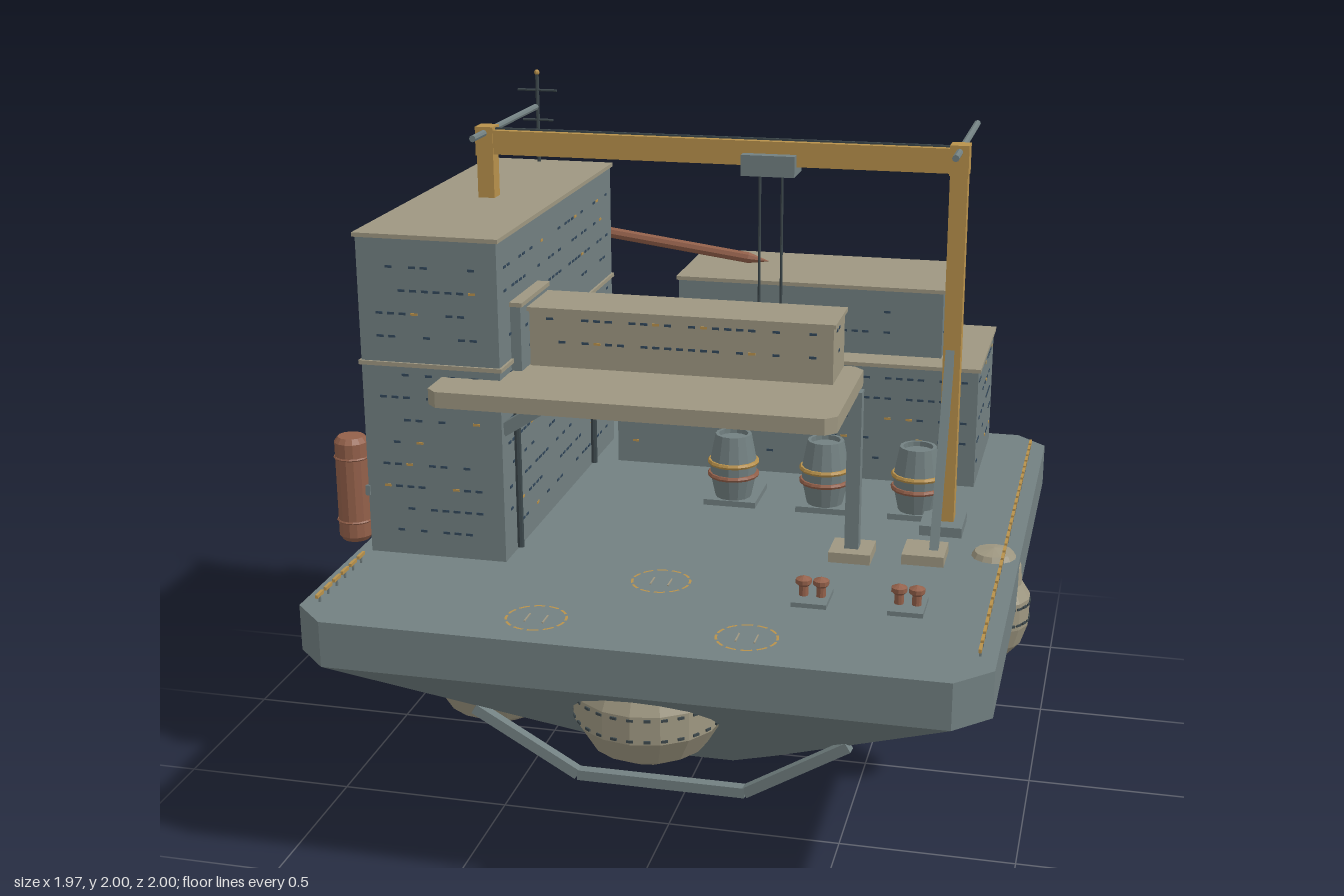
import * as THREE from 'three';
import { mergeGeometries } from 'three/addons/utils/BufferGeometryUtils.js';
import { ConvexGeometry } from 'three/addons/geometries/ConvexGeometry.js';

export function createModel() {
  const root = new THREE.Group();
  root.name = 'floatingPlatform';
  const material = (name, color, flatShading = false) =>
    new THREE.MeshStandardMaterial({ name, color, flatShading });
  const slate = material('slate', 0x728081, true);
  const cream = material('cream', 0x9e9781, true);
  const ochre = material('ochre', 0xb8914b, true);
  const copper = material('copper', 0x93604a, true);
  const dark = material('dark', 0x3c474b, true);
  const glass = material('glass', 0x32475a, true);

  const add = (name, geo, mat) => {
    const m = new THREE.Mesh(geo, mat);
    m.name = name;
    root.add(m);
    return m;
  };
  const boxGeo = (x0, x1, y0, y1, z0, z1) =>
    new THREE.BoxGeometry(x1 - x0, y1 - y0, z1 - z0)
      .translate((x0 + x1) / 2, (y0 + y1) / 2, (z0 + z1) / 2);
  const box = (name, mat, ...b) => add(name, boxGeo(...b), mat);
  const lathe = (name, mat, pts, x, y, z, sides = 14) =>
    add(name, new THREE.LatheGeometry(pts.map(p => new THREE.Vector2(...p)), sides).translate(x, y, z), mat);
  const bar = (name, mat, a, b, w, h = w) => {
    const A = new THREE.Vector3(...a), B = new THREE.Vector3(...b);
    const m = add(name, new THREE.BoxGeometry(w, h, A.distanceTo(B)), mat);
    m.position.copy(A).add(B).multiplyScalar(0.5);
    m.lookAt(B);
    return m;
  };
  const rod = (name, mat, a, b, r0, r1 = r0) => {
    const A = new THREE.Vector3(...a), B = new THREE.Vector3(...b);
    const m = add(name, new THREE.CylinderGeometry(r1, r0, A.distanceTo(B), 8), mat);
    m.position.copy(A).add(B).multiplyScalar(0.5);
    m.quaternion.setFromUnitVectors(new THREE.Vector3(0, 1, 0), B.sub(A).normalize());
    return m;
  };
  let seed = 7;
  const rnd = () => (seed = (seed * 16807) % 2147483647) / 2147483647;

  // Rows of tiny windows on the four walls of a block
  const windows = (x0, x1, y0, y1, z0, z1) => {
    const lit = [], unlit = [];
    for (let y = y0 + 0.07; y < y1 - 0.03; y += 0.066) {
      const wall = (from, to, place) => {
        for (let t = from + 0.05; t < to - 0.05; t += 0.034) {
          if (rnd() < 0.5) continue;
          (rnd() < 0.12 ? lit : unlit).push(...place(t));
        }
      };
      wall(x0, x1, t => [z0, z1].map(z => boxGeo(t, t + 0.02, y, y + 0.007, z - 0.002, z + 0.002)));
      wall(z0, z1, t => [x0, x1].map(x => boxGeo(x - 0.002, x + 0.002, y, y + 0.007, t, t + 0.02)));
    }
    if (lit.length) add('litWindows', mergeGeometries(lit), ochre);
    if (unlit.length) add('windows', mergeGeometries(unlit), glass);
  };
  // Walls with a thin overhanging roof
  const block = (name, mat, x0, x1, y0, y1, z0, z1) => {
    box(name, mat, x0, x1, y0, y1 - 0.012, z0, z1);
    box(name + 'Roof', cream, x0 - 0.007, x1 + 0.007, y1 - 0.012, y1, z0 - 0.007, z1 + 0.007);
    windows(x0, x1, y0, y1, z0, z1);
  };

  // Hull: chamfered rim and tapering bottom
  const ring = (y, x0, x1, z0, z1, c) => [
    [x0 + c, z0], [x1 - c, z0], [x1, z0 + c], [x1, z1 - c],
    [x1 - c, z1], [x0 + c, z1], [x0, z1 - c], [x0, z0 + c],
  ].map(([x, z]) => new THREE.Vector3(x, y, z));
  add('hull', new ConvexGeometry([
    ...ring(0.77, -0.92, 0.945, -1, 1, 0.095),
    ...ring(0.64, -0.92, 0.945, -1, 1, 0.095),
    ...ring(0.22, -0.28, 0.4, -0.78, 0.43, 0.1),
    ...ring(0.105, -0.11, 0.2, -0.59, 0.27, 0.06),
  ]), slate);

  // Bent guard bars below the hull, front and back
  for (const [zTop, zLow, n] of [[0.69, 0.665, 'front'], [-0.89, -0.79, 'back']]) {
    const p = [[-0.51, 0.41, zTop], [-0.22, 0.225, zLow], [0.26, 0.225, zLow], [0.55, 0.41, zTop]];
    for (let i = 0; i < 3; i++) bar(n + 'GuardBar', slate, p[i], p[i + 1], 0.03);
  }

  // Tanks hanging from the hull
  const tank = [[0, 0], [0.08, 0], [0.16, 0.045], [0.205, 0.12], [0.205, 0.2], [0.17, 0.27], [0.08, 0.31], [0, 0.32]];
  const band = (x, y, z, r) => {
    const parts = [];
    for (let i = 0; i < 28; i++)
      parts.push(new THREE.BoxGeometry(0.018, 0.007, 0.005).translate(0, 0, r)
        .rotateY(i / 28 * Math.PI * 2).translate(x, y, z));
    add('tankMarks', mergeGeometries(parts), dark);
  };
  for (const [x, y, z] of [[0.015, 0.37, 0.765], [-0.54, 0.245, -0.45], [-0.54, 0.245, 0.37]]) {
    lathe('bellyTank', cream, tank, x, y, z, 16);
    for (const h of [0.13, 0.19]) band(x, y + h, z, 0.204);
  }
  lathe('keelDome', slate, [[0, 0], [0.085, 0], [0.145, 0.05], [0.18, 0.12], [0.185, 0.15],
    [0.18, 0.18], [0.14, 0.235], [0.08, 0.26], [0, 0.26]], 0.37, 0, -0.285);
  lathe('sideFloat', cream, [[0, 0], [0.055, 0], [0.09, 0.04], [0.11, 0.1], [0.11, 0.18], [0.085, 0.22],
    [0.08, 0.27], [0.055, 0.31], [0, 0.32]], 0.87, 0.475, 0.125);
  for (const h of [0.59, 0.64]) band(0.87, h, 0.125, 0.109);

  // Tower, annex and wall pipes
  block('lowerTower', slate, -0.88, -0.475, 0.77, 1.342, -0.66, 0.485);
  block('upperTower', slate, -0.88, -0.475, 1.342, 1.705, -0.66, 0.485);
  block('towerAnnex', slate, -0.88, -0.685, 0.77, 1.342, -0.74, -0.66);
  for (const z of [0.385, -0.38]) rod('wallPipe', dark, [-0.463, 0.78, z], [-0.463, 1.28, z], 0.01);

  // Stacked rear blocks
  block('rearBlock', slate, -0.4, 0.755, 0.77, 1.155, -0.955, -0.445);
  block('rearUpperBlock', slate, -0.218, 0.628, 1.155, 1.375, -0.925, -0.54);

  // Raised gallery with cabin, brackets and leg
  const deck = new THREE.Shape(ring(0, -0.645, 0.485, -0.625, -0.125, 0.03).map(v => new THREE.Vector2(v.x, v.z)));
  add('galleryDeck', new THREE.ExtrudeGeometry(deck, { depth: 0.045, bevelEnabled: false })
    .rotateX(-Math.PI / 2).translate(0, 1.262, 0), cream);
  block('galleryCabin', cream, -0.44, 0.425, 1.307, 1.478, 0.132, 0.318);
  block('cabinLink', slate, -0.475, -0.445, 1.29, 1.505, 0.135, 0.382);
  for (const z of [0.45, 0.26]) bar('galleryBracket', slate, [-0.48, 1.155, z], [-0.31, 1.265, z], 0.035);
  box('galleryLeg', slate, 0.455, 0.495, 0.77, 1.265, 0.2, 0.24);
  box('galleryLegFoot', cream, 0.415, 0.535, 0.77, 0.8, 0.16, 0.28);

  // Gantry crane
  box('craneLeg', ochre, 0.685, 0.735, 0.77, 1.85, -0.09, -0.04);
  box('craneTowerLeg', ochre, -0.705, -0.655, 1.7, 1.85, -0.09, -0.04);
  box('craneBeam', ochre, -0.7, 0.73, 1.835, 1.905, -0.092, -0.038);
  box('craneRail', dark, -0.68, 0.71, 1.905, 1.91, -0.07, -0.06);
  for (const x of [-0.68, 0.71]) {
    box('craneCap', ochre, x - 0.027, x + 0.027, 1.83, 1.915, -0.095, -0.035);
    rod('craneOutrigger', slate, [x, 1.897, 0.065], [x, 1.897, -0.535], 0.01);
  }
  box('craneFoot', slate, 0.64, 0.765, 0.77, 0.8, -0.14, 0.01);
  bar('craneBrace', slate, [0.705, 0.79, 0.19], [0.705, 1.32, -0.05], 0.025);
  box('braceFoot', cream, 0.62, 0.74, 0.77, 0.8, 0.125, 0.25);
  box('trolley', slate, 0.095, 0.25, 1.81, 1.87, -0.12, -0.005);
  for (const x of [0.14, 0.205]) rod('hoistCable', dark, [x, 1.37, -0.062], [x, 1.81, -0.062], 0.004);
  box('hoistPallet', ochre, 0.095, 0.25, 1.358, 1.375, -0.155, 0.03);

  // Banded casks on pads
  for (const x of [0.045, 0.33, 0.61]) {
    box('caskPad', slate, x - 0.08, x + 0.08, 0.77, 0.788, -0.285, -0.1);
    lathe('cask', slate, [[0, 0], [0.055, 0], [0.07, 0.07], [0.072, 0.11], [0.055, 0.2], [0.045, 0.2], [0.045, 0.185], [0, 0.185]],
      x, 0.788, -0.16);
    for (const [y, r, mat] of [[0.9, 0.072, ochre], [0.86, 0.072, copper]])
      add('caskBand', new THREE.TorusGeometry(r, 0.008, 6, 16).rotateX(Math.PI / 2).translate(x, y, -0.16), mat);
  }

  // Paired mooring posts
  for (const x of [0.42, 0.68]) {
    box('mooringPad', slate, x - 0.048, x + 0.048, 0.77, 0.783, 0.5, 0.62);
    for (const s of [-0.024, 0.024])
      lathe('mooringPost', copper, [[0.013, 0], [0.013, 0.03], [0.022, 0.038], [0.022, 0.05], [0, 0.06]], x + s, 0.78, 0.56, 10);
  }

  // Copper cylinders on the tower's outer side
  for (const z of [-0.29, 0.09, 0.47]) {
    lathe('gasCylinder', copper, [[0, 0], [0.038, 0], [0.049, 0.015], [0.049, 0.295], [0.038, 0.31], [0, 0.31]], -0.932, 0.8, z);
    for (const y of [0.86, 1.05])
      add('cylinderBand', new THREE.TorusGeometry(0.049, 0.004, 5, 14).rotateX(Math.PI / 2).translate(-0.932, y, z), copper);
    box('cylinderBracket', slate, -0.9, -0.875, 0.94, 0.97, z - 0.02, z + 0.02);
  }

  // Exhaust pipe behind the tower, ending in a point
  rod('exhaustStub', copper, [-0.68, 1.485, -0.64], [-0.68, 1.485, -0.745], 0.018);
  rod('exhaustPipe', copper, [-0.695, 1.487, -0.73], [-0.03, 1.4, -0.73], 0.018);
  rod('exhaustTip', copper, [-0.03, 1.4, -0.73], [0.035, 1.392, -0.73], 0.018, 0.001);

  // Mast
  rod('mast', dark, [-0.705, 1.7, -0.635], [-0.705, 1.99, -0.635], 0.006);
  for (const [y, w] of [[1.935, 0.065], [1.84, 0.05]])
    rod('mastArm', dark, [-0.705 - w, y, -0.635], [-0.705 + w, y, -0.635], 0.004);
  add('mastTip', new THREE.SphereGeometry(0.009, 8, 6).translate(-0.705, 1.991, -0.635), ochre);

  // Dashed landing circles on the deck
  for (const [x, z] of [[-0.27, 0.85], [0.3, 0.85], [-0.01, 0.53]]) {
    const arcs = [];
    for (let i = 0; i < 12; i++)
      arcs.push(new THREE.RingGeometry(0.077, 0.084, 3, 1, i * Math.PI / 6, 0.38).rotateX(-Math.PI / 2).translate(x, 0.773, z));
    add('landingCircle', mergeGeometries(arcs), ochre);
    for (const s of [-0.025, 0.025]) box('landingMark', cream, x + s - 0.002, x + s + 0.002, 0.77, 0.773, z - 0.025, z + 0.025);
  }

  // Low dashed edge rails
  for (const [x, z0, z1] of [[0.9, -0.88, 0.86], [-0.875, 0.56, 0.86]]) {
    const dashes = [], posts = [];
    for (let z = z0; z < z1; z += 0.058) {
      dashes.push(boxGeo(x - 0.004, x + 0.004, 0.787, 0.797, z, z + 0.042));
      posts.push(boxGeo(x - 0.003, x + 0.003, 0.77, 0.79, z + 0.018, z + 0.024));
    }
    add('edgeRail', mergeGeometries(dashes), ochre);
    add('edgeRailPosts', mergeGeometries(posts), slate);
  }
  return root;
}
